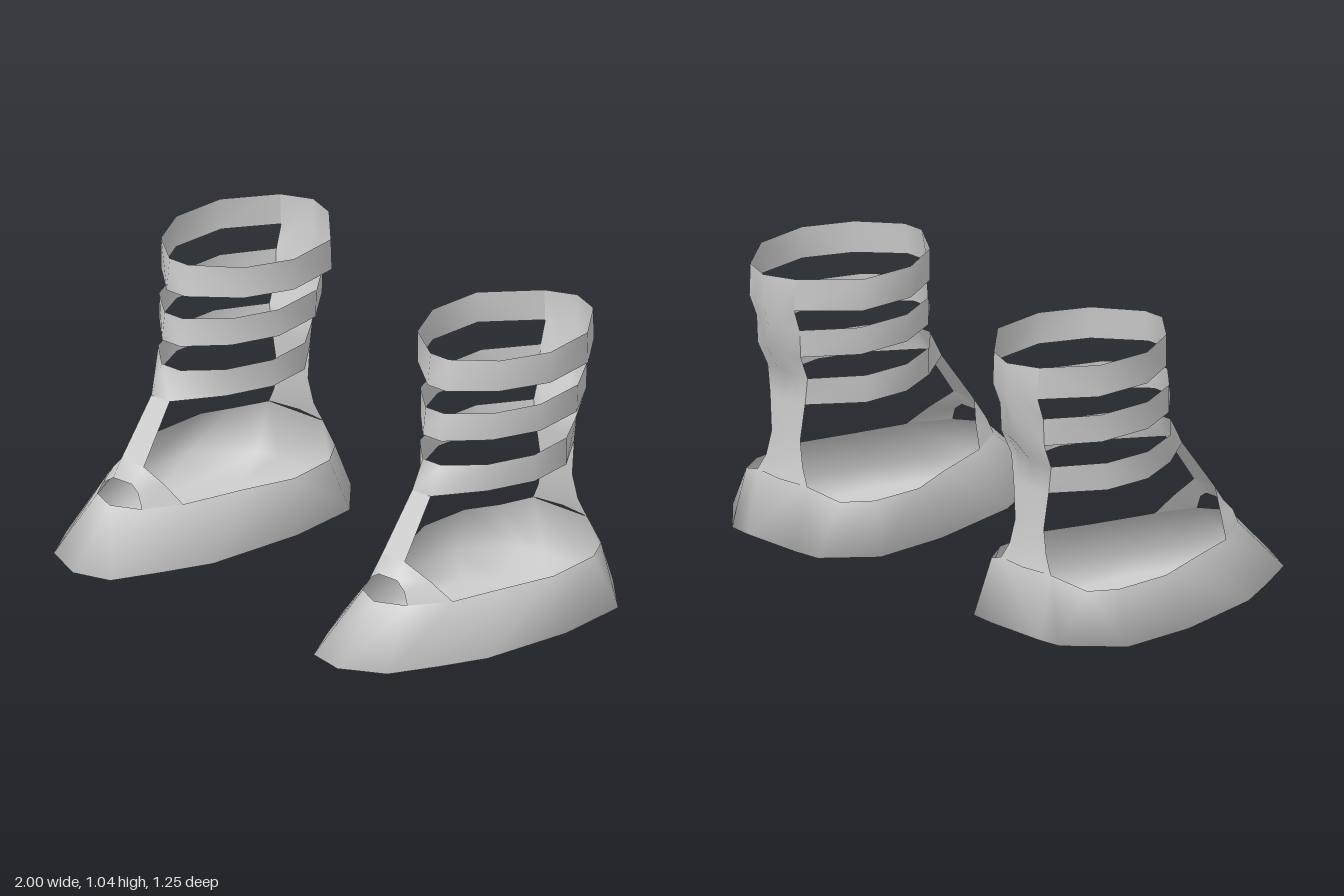
import * as THREE from 'three';

const material = new THREE.MeshStandardMaterial({ color: 0xcccccc, side: THREE.DoubleSide });

// Skin between rows of [x, y, z] points; rows run upward, points run anticlockwise seen from above.
function loft(name, rows, side, closed = false) {
  const n = rows[0].length, index = [];
  const positions = rows.flat().flatMap(([x, y, z]) => [x * side, y, z]);
  for (let i = 0; i < rows.length - 1; i++) {
    for (let j = 0; j < (closed ? n : n - 1); j++) {
      const k = (j + 1) % n;
      const a = i * n + j, b = i * n + k, c = a + n, d = b + n;
      if (side > 0) index.push(a, b, d, a, d, c);
      else index.push(a, d, b, a, c, d);
    }
  }
  const geometry = new THREE.BufferGeometry();
  geometry.setAttribute('position', new THREE.Float32BufferAttribute(positions, 3));
  geometry.setIndex(index);
  geometry.computeVertexNormals();
  const mesh = new THREE.Mesh(geometry, material);
  mesh.name = name;
  return mesh;
}

// Widest outline of the sole (x, z), from the toe round the outer side, heel and inner side
const soleEdge = [
  [0.61, 0.62], [0.77, 0.54], [0.86, 0.375], [0.94, 0.21], [1.0, -0.13], [0.99, -0.41],
  [0.82, -0.575], [0.73, -0.585], [0.49, -0.585], [0.39, -0.575], [0.25, -0.41],
  [0.243, -0.13], [0.30, 0.24], [0.38, 0.41], [0.47, 0.585],
];

// Upper edge of the foot wall, matching the sole outline point by point
const rim = [
  [0.61, 0.235, 0.43], [0.715, 0.23, 0.375], [0.80, 0.225, 0.235], [0.853, 0.225, 0.05],
  [0.917, 0.225, -0.16], [0.907, 0.225, -0.375], [0.853, 0.228, -0.475], [0.735, 0.27, -0.535],
  [0.485, 0.27, -0.535], [0.38, 0.228, -0.48], [0.313, 0.225, -0.375], [0.30, 0.225, -0.18],
  [0.366, 0.225, 0.0], [0.44, 0.225, 0.24], [0.51, 0.23, 0.375],
];

// Heel spine: height, half width, z of its sides, z of its middle
const spineRows = [
  [0.27, 0.125, -0.535, -0.55], [0.33, 0.092, -0.525, -0.535], [0.42, 0.072, -0.518, -0.525],
  [0.555, 0.088, -0.51, -0.515], [0.655, 0.10, -0.51, -0.515], [0.745, 0.108, -0.55, -0.59],
  [0.845, 0.108, -0.555, -0.60], [0.925, 0.113, -0.585, -0.625], [1.04, 0.113, -0.58, -0.625],
];

// Ankle straps: bottom and top height, centre x, half width, front z at bottom and top, row of the spine they start on
const straps = [
  { y: [0.555, 0.655], cx: 0.604, half: 0.222, front: [0.175, 0.12], row: 3 },
  { y: [0.745, 0.845], cx: 0.603, half: 0.237, front: [0.12, 0.105], row: 5 },
  { y: [0.925, 1.04], cx: 0.592, half: 0.272, front: [0.095, 0.08], row: 7 },
];

function strapRow(strap, end) {
  const { cx, half } = strap, y = strap.y[end], front = strap.front[end];
  const [, w, back] = spineRows[strap.row + end];
  const sideZ = strap.front[1];
  return [
    [0.61 - w, y, back], [cx - 0.94 * half, y, back + 0.17], [cx - half, y, sideZ - 0.28],
    [cx - 0.70 * half, y, sideZ - 0.11], [0.56, y, front], [0.645, y, front],
    [cx + 0.70 * half, y, sideZ - 0.11], [cx + half, y, sideZ - 0.28],
    [cx + 0.94 * half, y, back + 0.17], [0.61 + w, y, back],
  ];
}

function createShoe(side) {
  const shoe = new THREE.Group();
  shoe.name = side > 0 ? 'leftShoe' : 'rightShoe';

  // Sole and foot wall in one skin, closed underneath
  const centre = soleEdge.map(() => [0.62, 0.007, -0.03]);
  const underside = soleEdge.map(([x, z]) =>
    [0.62 + (x - 0.62) * 0.67, 0.008 + z * 0.018, -0.03 + (z + 0.03) * 0.67]);
  const edge = soleEdge.map(([x, z]) => [x, 0.043, z]);
  shoe.add(loft('soleAndWall', [centre, underside, edge, rim], side, true));

  // Instep above the toe opening, rising to the front strut
  const overOpening = [rim[14], [0.535, 0.28, 0.367], [0.57, 0.302, 0.36],
    [0.655, 0.302, 0.36], [0.695, 0.275, 0.368], rim[1]];
  const instep = [rim[13], [0.495, 0.295, 0.275], [0.55, 0.36, 0.32],
    [0.655, 0.36, 0.32], [0.73, 0.295, 0.275], rim[2]];
  shoe.add(loft('instep', [overOpening, instep], side));

  // Narrow strut from the instep to the lowest strap
  shoe.add(loft('frontStrut', [[instep[2], instep[3]], [[0.56, 0.555, 0.175], [0.645, 0.555, 0.175]]], side));

  // Spine up the back of the heel
  const spine = spineRows.map(([y, w, sideZ, midZ]) => [1, 0.5, 0, -0.5, -1].map(t =>
    [0.61 + t * w, y, midZ + (sideZ - midZ) * Math.abs(t)]));
  shoe.add(loft('heelSpine', spine, side));

  // Skin joining the spine's foot to the wall's raised heel
  shoe.add(loft('heelFlare', [[rim[7], rim[8]], [spine[0][0], spine[0][4]]], side));

  straps.forEach((strap, i) =>
    shoe.add(loft(`ankleStrap${i + 1}`, [strapRow(strap, 0), strapRow(strap, 1)], side)));
  return shoe;
}

export function createModel() {
  const model = new THREE.Group();
  model.name = 'strappedShoes';
  model.add(createShoe(1), createShoe(-1));
  return model;
}
